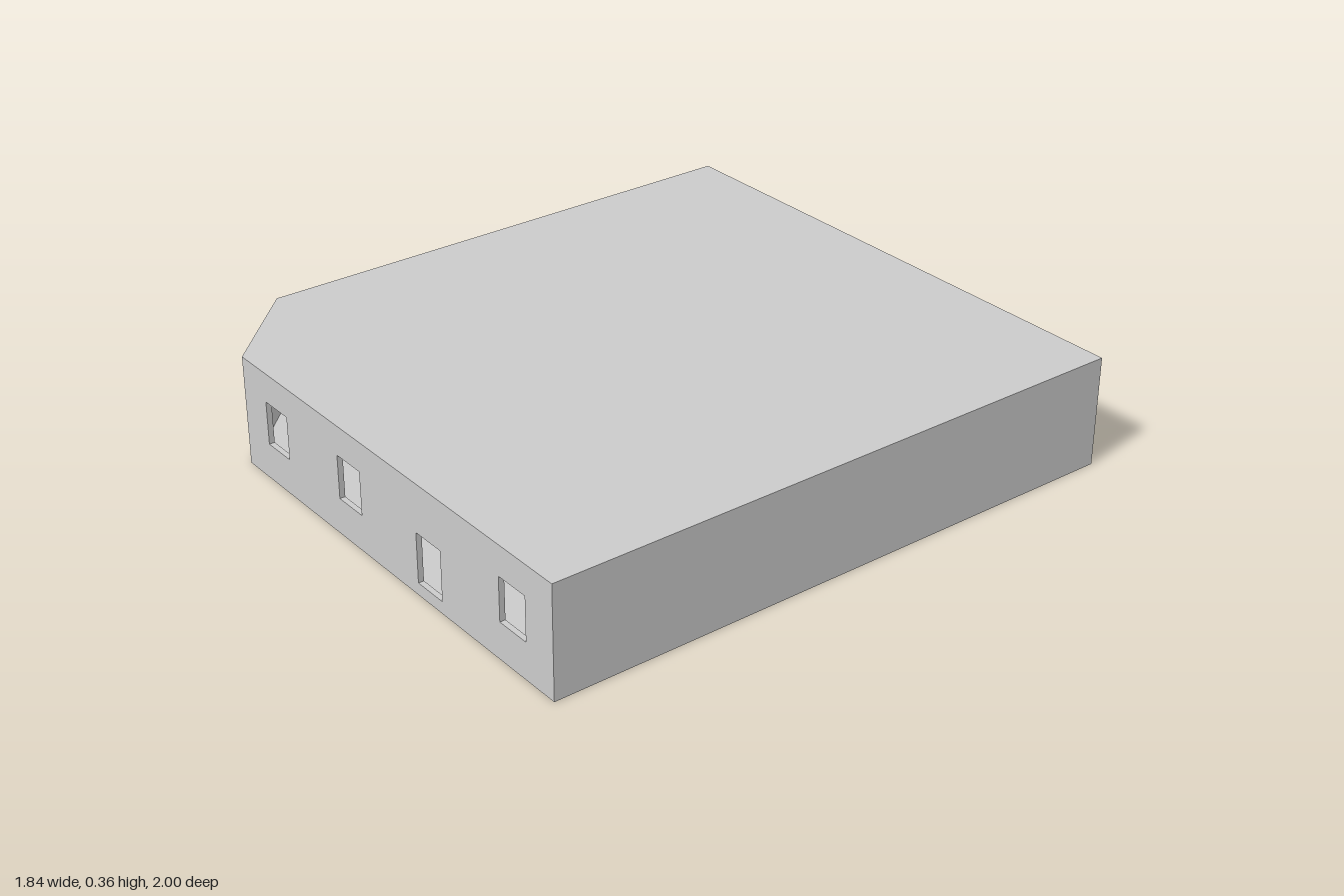
import * as THREE from 'three';

const H = 0.36, T = 0.018; // overall height, shell thickness
// Footprint corners (x, z), running so that each wall's outside faces away from the room
const PLAN = [[-0.64, 1], [0.92, 1], [0.92, -1], [-0.92, -1], [-0.92, 0.72]]
  .map(([x, z]) => new THREE.Vector2(x, z));
const N = PLAN.length;
const material = new THREE.MeshStandardMaterial({ color: 0xcccccc, flatShading: true });

const along = i => PLAN[(i + 1) % N].clone().sub(PLAN[i % N]).normalize();
// Distance the inner edge is pulled back at a corner so that panels meet in a mitre
const mitre = i => T * Math.tan(along(i + N - 1).angleTo(along(i)) / 2);
// Footprint corner on the inside of the shell
const inner = PLAN.map((p, i) => {
  const u = along(i);
  return p.clone().addScaledVector(u, mitre(i)).add(new THREE.Vector2(u.y, -u.x).multiplyScalar(T));
});

function editVertices(geometry, rule) {
  const pos = geometry.attributes.position, v = new THREE.Vector3();
  for (let i = 0; i < pos.count; i++) {
    rule(v.fromBufferAttribute(pos, i));
    pos.setXYZ(i, v.x, v.y, v.z);
  }
  geometry.computeVertexNormals();
  return geometry;
}

function rectangle(Type, x0, x1, y0, y1) {
  return new Type([[x0, y0], [x1, y0], [x1, y1], [x0, y1]].map(p => new THREE.Vector2(...p)));
}

// Wall panel along footprint edge i, with openings [centre along wall, bottom, top]
function wall(name, i, openings) {
  const a = PLAN[i], length = a.distanceTo(PLAN[(i + 1) % N]), u = along(i);
  const shape = rectangle(THREE.Shape, 0, length, 0, H);
  for (const [s, y0, y1] of openings) {
    shape.holes.push(rectangle(THREE.Path, s - 0.059, s + 0.059, y0, y1));
  }
  const geometry = new THREE.ExtrudeGeometry(shape, { depth: T, bevelEnabled: false });
  geometry.translate(0, 0, -T);
  editVertices(geometry, v => {
    if (v.z > -T / 2) return;
    if (v.x < 1e-4) v.x = mitre(i);
    else if (v.x > length - 1e-4) v.x = length - mitre((i + 1) % N);
    if (v.y < 1e-4) v.y = T;
    else if (v.y > H - 1e-4) v.y = H - T;
  });
  const mesh = new THREE.Mesh(geometry, material);
  mesh.name = name;
  mesh.position.set(a.x, 0, a.y);
  mesh.rotation.y = Math.atan2(-u.y, u.x);
  return mesh;
}

// Floor or roof slab, narrowing to the inner footprint on its room side
function slab(name, y, innerOnTop) {
  const shape = new THREE.Shape(PLAN.map(p => new THREE.Vector2(p.x, -p.y)));
  const geometry = new THREE.ExtrudeGeometry(shape, { depth: T, bevelEnabled: false });
  geometry.rotateX(-Math.PI / 2);
  editVertices(geometry, v => {
    if ((v.y > T / 2) !== innerOnTop) return;
    const k = PLAN.findIndex(p => Math.hypot(p.x - v.x, p.y - v.z) < 1e-3);
    v.x = inner[k].x;
    v.z = inner[k].y;
  });
  const mesh = new THREE.Mesh(geometry, material);
  mesh.name = name;
  mesh.position.y = y;
  return mesh;
}

export function createModel() {
  const group = new THREE.Group();
  group.name = 'building';
  const win = s => [s, 0.12, 0.262];
  const door = s => [s, 0.04, 0.202];
  group.add(
    slab('floor', 0, true),
    slab('roof', H - T, false),
    wall('frontWall', 0, [win(0.185), win(0.583), door(0.985), win(1.38)]),
    wall('leftWall', 1, []),
    wall('backWall', 2, [door(0.977), win(1.375)]),
    wall('rightWall', 3, [0.26, 0.657, 1.055, 1.455].map(win)),
    wall('cornerWall', 4, [win(0.2)]),
  );
  return group;
}
